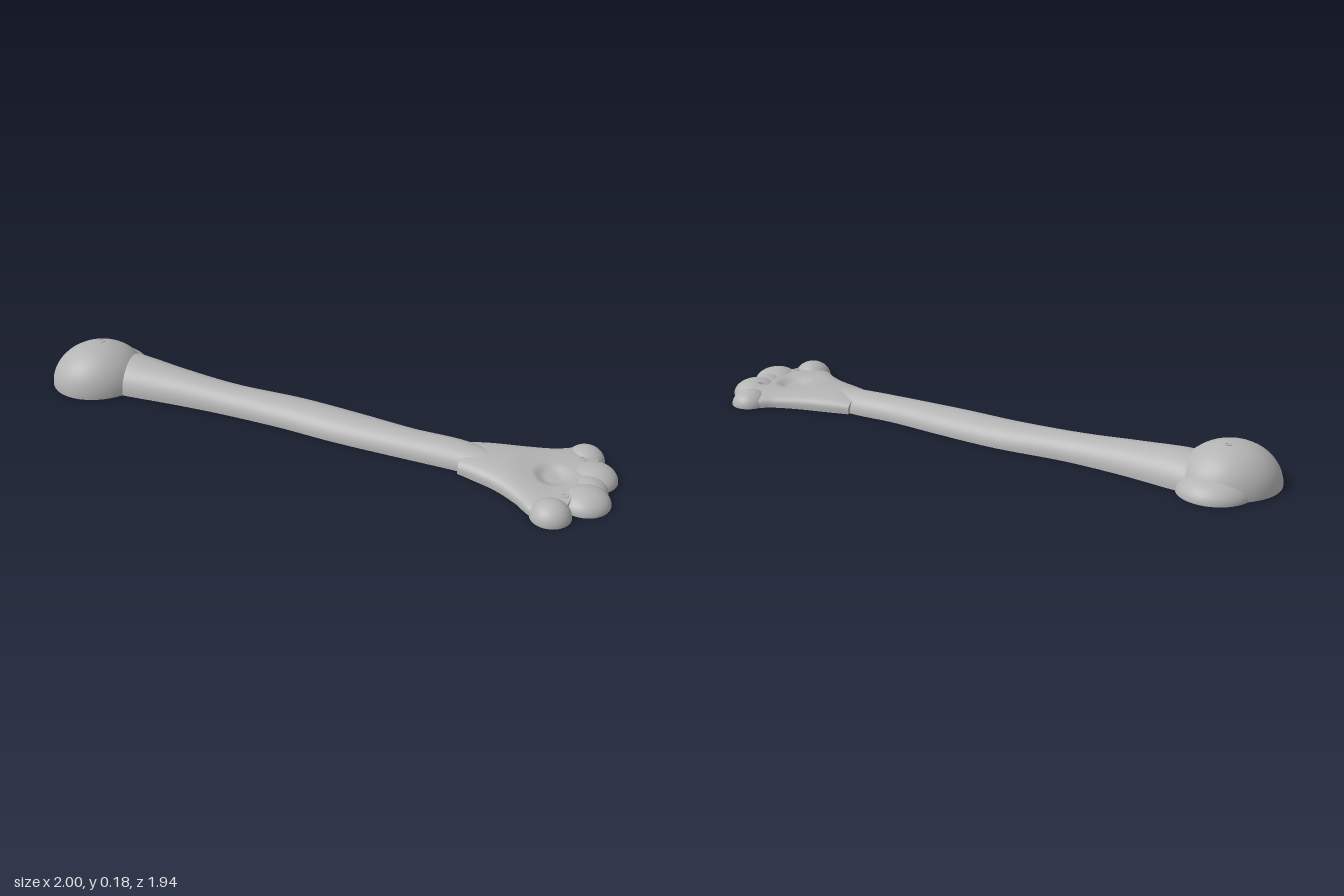
import * as THREE from 'three';
import { mergeGeometries } from 'three/addons/utils/BufferGeometryUtils.js';

// Surface through a grid of points (rows of Vector3)
function gridSurface(rows) {
  const n = rows[0].length, index = [];
  for (let i = 0; i < rows.length - 1; i++) {
    for (let j = 0; j < n - 1; j++) {
      const a = i * n + j, b = a + n;
      index.push(a, b, a + 1, b, b + 1, a + 1);
    }
  }
  const geo = new THREE.BufferGeometry().setFromPoints(rows.flat());
  geo.setIndex(index);
  geo.computeVertexNormals();
  return geo;
}

// Flat-bottomed loft; each section is [leftX, leftZ, rightX, rightZ, height]
function halfLoft(sections, power, along, across, shape = (p) => p) {
  const left = new THREE.CatmullRomCurve3(sections.map((s) => new THREE.Vector3(s[0], s[4], s[1])));
  const right = new THREE.CatmullRomCurve3(sections.map((s) => new THREE.Vector3(s[2], s[4], s[3])));
  const top = [], base = [];
  for (let i = 0; i <= along; i++) {
    const l = left.getPoint(i / along), r = right.getPoint(i / along);
    const row = [], flat = [];
    for (let j = 0; j <= across; j++) {
      const angle = Math.PI * j / across;
      const p = l.clone().lerp(r, (1 - Math.cos(angle)) / 2);
      p.y = l.y * Math.pow(Math.max(0, Math.sin(angle)), power);
      row.push(shape(p));
      flat.push(new THREE.Vector3(p.x, 0, p.z));
    }
    top.push(row);
    base.push(flat);
  }
  return mergeGeometries([
    gridSurface(top),
    gridSurface(base.map((row) => [row[across], row[0]])),
    gridSurface([base[0], top[0]]),
    gridSurface([top[along], base[along]]),
  ]);
}

// Half ellipsoid resting on the ground, closed underneath
function halfDome(rx, ry, rz) {
  const cap = new THREE.SphereGeometry(1, 48, 20, 0, Math.PI * 2, 0, Math.PI / 2);
  const floor = new THREE.CircleGeometry(1, 48).rotateX(Math.PI / 2);
  return mergeGeometries([cap, floor]).scale(rx, ry, rz);
}

export function createModel() {
  const model = new THREE.Group();
  model.name = 'halfBone';
  const bone = new THREE.MeshStandardMaterial({ color: 0xb4b4b4 });
  bone.name = 'bone grey';

  const add = (name, geometry, x = 0, y = 0, z = 0) => {
    const mesh = new THREE.Mesh(geometry, bone);
    mesh.name = name;
    mesh.position.set(x, y, z);
    model.add(mesh);
    return mesh;
  };

  // Long shaft, sinking into the flared lower end
  add('shaft', halfLoft([
    [-0.77, -0.62, -0.61, -0.83, 0.115],
    [-0.73, -0.58, -0.565, -0.785, 0.12],
    [-0.57, -0.45, -0.41, -0.59, 0.107],
    [-0.40, -0.305, -0.235, -0.40, 0.092],
    [-0.18, -0.096, 0, -0.195, 0.087],
    [0, 0.096, 0.19, 0.01, 0.085],
    [0.19, 0.28, 0.35, 0.195, 0.082],
    [0.39, 0.47, 0.51, 0.35, 0.079],
    [0.53, 0.61, 0.62, 0.52, 0.06],
  ], 1, 80, 28));

  // Flared lower end with a shallow hollow and a deeper pit
  add('flare', halfLoft([
    [0.385, 0.49, 0.52, 0.34, 0.06],
    [0.42, 0.55, 0.60, 0.385, 0.068],
    [0.475, 0.65, 0.72, 0.455, 0.07],
    [0.51, 0.76, 0.83, 0.505, 0.066],
    [0.53, 0.86, 0.93, 0.53, 0.06],
    [0.62, 0.93, 0.97, 0.63, 0.055],
  ], 0.6, 64, 56, (p) => {
    const d = Math.hypot(p.x - 0.71, p.z - 0.69);
    const hollow = 1 - THREE.MathUtils.smoothstep(d, 0.05, 0.19);
    const pit = 1 - THREE.MathUtils.smoothstep(d, 0.03, 0.085);
    p.y *= 1 - 0.2 * hollow - 0.35 * pit;
    return p;
  }));

  // Rounded ends: name, x, z, radii x, y, z
  [
    ['head', -0.79, -0.765, 0.21, 0.175, 0.187],
    ['tubercle', -0.705, -0.825, 0.152, 0.085, 0.15],
    ['innerKnob', 0.918, 0.587, 0.08, 0.064, 0.08],
    ['outerKnob', 0.598, 0.885, 0.083, 0.072, 0.083],
    ['frontCondyle', 0.768, 0.855, 0.102, 0.066, 0.1],
    ['sideCondyle', 0.878, 0.722, 0.1, 0.066, 0.1],
    ['condyleBridge', 0.82, 0.785, 0.08, 0.058, 0.08],
  ].forEach(([name, x, z, rx, ry, rz]) => add(name, halfDome(rx, ry, rz), x, 0, z));

  // Tiny rims of the peg holes
  [[-0.765, 0.174, -0.79], [0.863, 0.066, 0.66], [0.682, 0.05, 0.843]].forEach(([x, y, z]) => {
    add('pegHoleRim', new THREE.TorusGeometry(0.012, 0.002, 6, 20).rotateX(Math.PI / 2), x, y, z);
  });

  return model;
}
